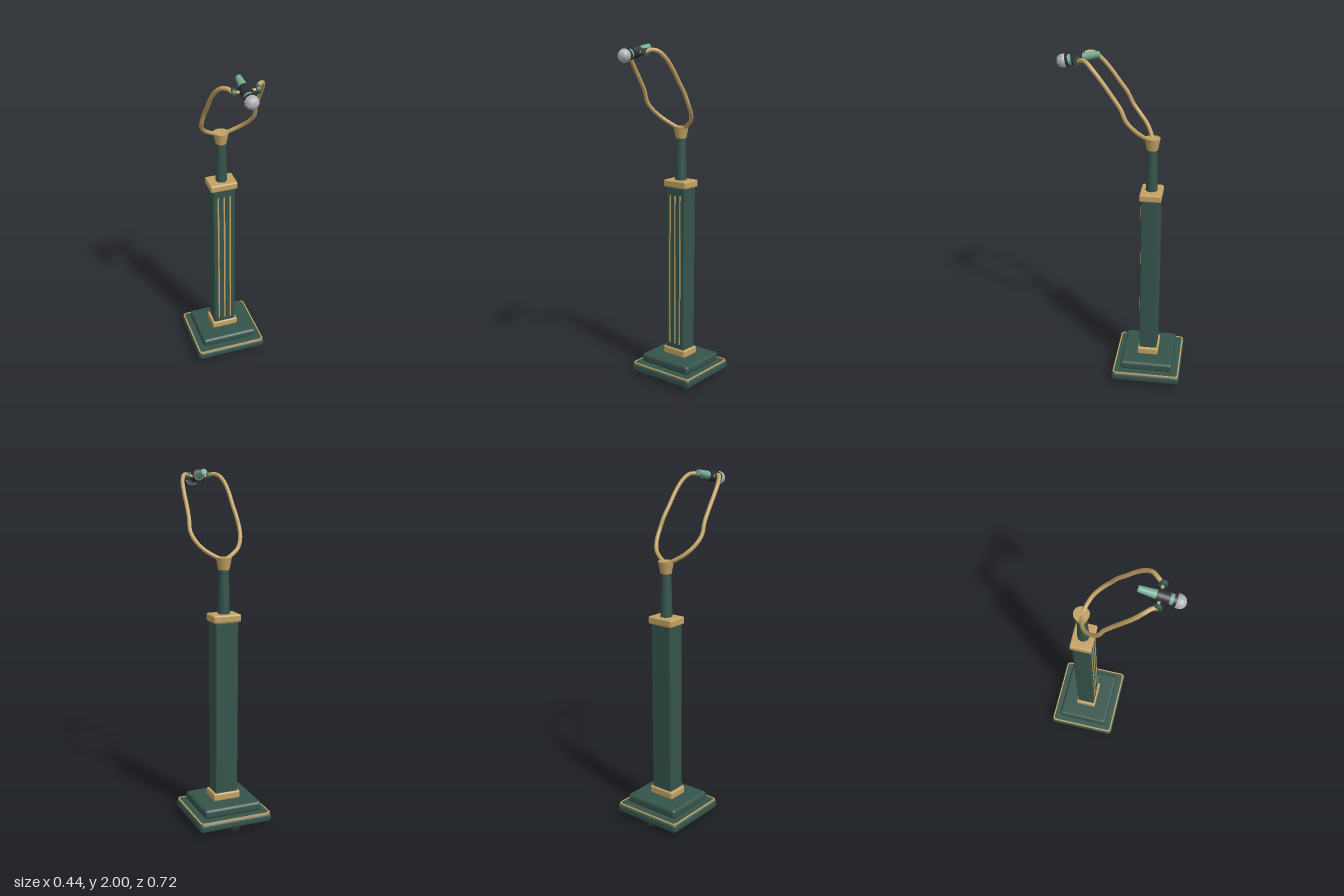
import * as THREE from 'three';
import { RoundedBoxGeometry } from 'three/addons/geometries/RoundedBoxGeometry.js';

const mat = (name, color) => {
  const m = new THREE.MeshStandardMaterial({ color });
  m.name = name;
  return m;
};

export function createModel() {
  const green = mat('dark green', 0x35544b);
  const gold = mat('brass', 0xc2a264);
  const teal = mat('pale teal', 0x75ad97);
  const black = mat('black', 0x2b2e32);
  const silver = mat('silver', 0xb2b3ba);

  const model = new THREE.Group();
  const CZ = -0.155; // depth of the stand's axis

  const add = (name, geo, material, x = 0, y = 0, z = 0, parent = model) => {
    const mesh = new THREE.Mesh(geo, material);
    mesh.name = name;
    mesh.position.set(x, y, z);
    parent.add(mesh);
    return mesh;
  };
  const block = (name, w, d, y0, y1, r, material) =>
    add(name, new RoundedBoxGeometry(w, y1 - y0, d, 3, r), material, 0, (y0 + y1) / 2, CZ);
  const tapered = (name, rBottom, rTop, y0, y1, material, z = 0, parent = model) =>
    add(name, new THREE.CylinderGeometry(rTop, rBottom, y1 - y0, 32), material, 0, (y0 + y1) / 2, z, parent);

  // Stepped base and square column
  block('basePlate', 0.44, 0.412, 0.021, 0.079, 0.022, green);
  block('baseStep', 0.35, 0.316, 0.079, 0.134, 0.018, green);
  block('lowerCollar', 0.164, 0.124, 0.134, 0.18, 0.01, gold);
  block('column', 0.136, 0.106, 0.175, 1.18, 0.008, green);
  block('upperCollar', 0.164, 0.124, 1.176, 1.22, 0.01, gold);

  // Inlaid trim around the rim of the base, with clipped corners
  const outline = (w, d, c, P) => new P([
    [-w + c, -d], [w - c, -d], [w, -d + c], [w, d - c],
    [w - c, d], [-w + c, d], [-w, d - c], [-w, -d + c],
  ].map(([x, y]) => new THREE.Vector2(x, y)));
  const trim = outline(0.213, 0.2, 0.014, THREE.Shape);
  trim.holes.push(outline(0.205, 0.192, 0.011, THREE.Path));
  const trimGeo = new THREE.ExtrudeGeometry(trim, { depth: 0.008, bevelEnabled: false });
  trimGeo.rotateX(-Math.PI / 2);
  add('baseTrim', trimGeo, gold, 0, 0.0715, CZ);

  // Three feet: two in front, one behind
  for (const [x, z] of [[-0.16, 0.16], [0.16, 0.16], [0, -0.165]]) {
    add('foot', new THREE.CylinderGeometry(0.028, 0.028, 0.026, 24), black, x, 0.013, CZ + z);
  }

  // Brass lines on the front of the column
  for (const x of [-0.037, 0, 0.037]) {
    add('columnStripe', new THREE.BoxGeometry(0.009, 0.92, 0.006), gold, x, 0.67, CZ + 0.053);
  }

  // Neck and cup
  tapered('neck', 0.034, 0.028, 1.215, 1.47, green, CZ);
  tapered('cup', 0.031, 0.044, 1.463, 1.53, gold, CZ);

  // Forked yoke, one arm per side, with its pivot knob and pin
  const armPoints = [
    [0.018, 1.522, -0.15], [0.05, 1.538, -0.141], [0.1, 1.572, -0.115],
    [0.135, 1.62, -0.07], [0.148, 1.67, -0.03], [0.143, 1.735, 0.0],
    [0.138, 1.8, 0.045], [0.135, 1.87, 0.095], [0.125, 1.93, 0.145],
    [0.105, 1.963, 0.182], [0.08, 1.968, 0.21], [0.062, 1.957, 0.236],
  ];
  for (const s of [-1, 1]) {
    const curve = new THREE.CatmullRomCurve3(armPoints.map(([x, y, z]) => new THREE.Vector3(s * x, y, z)));
    add('yokeArm', new THREE.TubeGeometry(curve, 64, 0.0115, 14), gold);
    add('yokeArmEnd', new THREE.SphereGeometry(0.0115, 14, 10), gold, s * 0.018, 1.522, -0.15);
    const knob = add('pivotKnob', new THREE.CylinderGeometry(0.022, 0.022, 0.02, 24), green, s * 0.063, 1.957, 0.236);
    const pin = add('pivotPin', new THREE.CylinderGeometry(0.008, 0.008, 0.04, 16), gold, s * 0.041, 1.957, 0.236);
    knob.rotation.z = pin.rotation.z = Math.PI / 2;
  }

  // Microphone, built upright and tipped forward and slightly down
  const mic = new THREE.Group();
  mic.name = 'microphone';
  mic.position.set(0, 1.957, 0.248);
  mic.rotation.x = Math.PI / 2 + 0.217;
  model.add(mic);
  tapered('handle', 0.0165, 0.023, -0.121, -0.025, teal, 0, mic);
  tapered('clamp', 0.0325, 0.0325, -0.031, 0.031, black, 0, mic);
  tapered('handleNeck', 0.025, 0.029, 0.025, 0.055, teal, 0, mic);
  tapered('grilleCollar', 0.033, 0.033, 0.051, 0.065, black, 0, mic);
  add('grille', new THREE.SphereGeometry(0.036, 28, 20), silver, 0, 0.08, 0, mic);
  // Wire bands around the grille
  for (const [rx, ry] of [[Math.PI / 2, 0], [0, 0], [0, Math.PI / 2]]) {
    const band = add('grilleBand', new THREE.TorusGeometry(0.0355, 0.0018, 6, 36), silver, 0, 0.08, 0, mic);
    band.rotation.set(rx, ry, 0);
  }

  return model;
}
